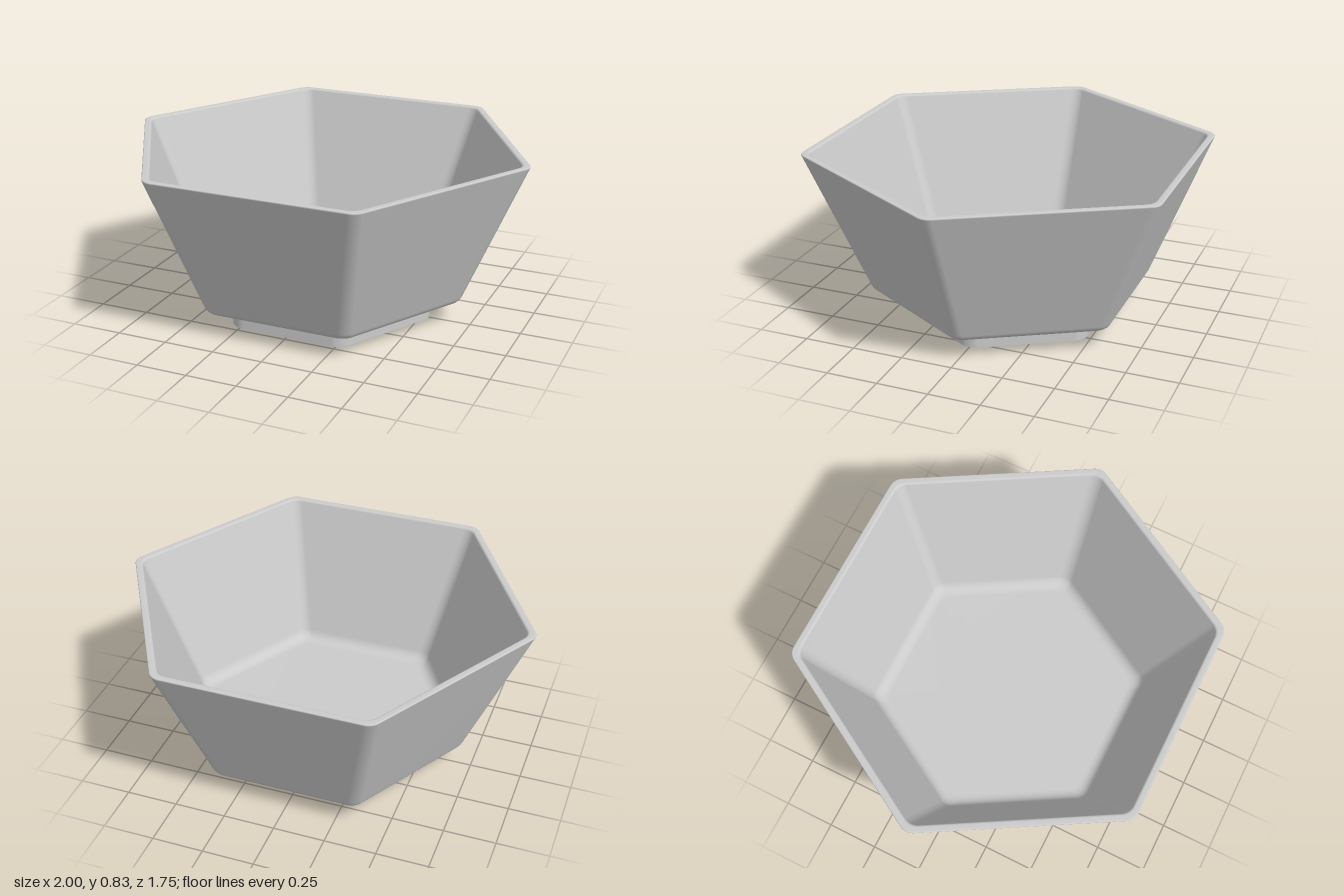
import * as THREE from 'three';
import { mergeGeometries } from 'three/addons/utils/BufferGeometryUtils.js';

const ARC = 8; // segments per rounded corner

// Hexagon outline with rounded corners: a = centre to flat side, r = corner radius
function hexRing(a, r, y) {
  r = Math.min(r, a);
  const reach = (a - r) * 2 / Math.sqrt(3);
  const points = [];
  for (let k = 0; k < 6; k++) {
    const corner = k * Math.PI / 3;
    for (let i = 0; i <= ARC; i++) {
      const t = corner + (i / ARC - 0.5) * Math.PI / 3;
      points.push(reach * Math.cos(corner) + r * Math.cos(t), y,
        reach * Math.sin(corner) + r * Math.sin(t));
    }
  }
  return points;
}

// Skin a list of [a, y, r] sections; flat gives hard corners
function loft(sections, flat = false) {
  const n = 6 * (ARC + 1), index = [];
  const position = sections.flatMap(([a, y, r]) => hexRing(a, r, y));
  for (let s = 0; s < sections.length - 1; s++) {
    for (let i = 0; i < n; i++) {
      const p = s * n + i, q = s * n + (i + 1) % n;
      index.push(p, p + n, q, q, p + n, q + n);
    }
  }
  let geometry = new THREE.BufferGeometry();
  geometry.setAttribute('position', new THREE.Float32BufferAttribute(position, 3));
  geometry.setIndex(index);
  if (!flat) geometry.computeVertexNormals();
  geometry = geometry.toNonIndexed();
  if (flat) geometry.computeVertexNormals();
  return geometry;
}

// Round the corners of a profile of [a, y, cut], cut = length trimmed at each corner
function roundProfile(corners, r) {
  const points = corners.map(([a, y]) => new THREE.Vector2(a, y));
  const out = [];
  points.forEach((p, i) => {
    const cut = corners[i][2];
    if (!cut) return out.push([p.x, p.y, r]);
    const toward = (o) => o.clone().sub(p).setLength(cut).add(p);
    const curve = new THREE.QuadraticBezierCurve(toward(points[i - 1]), p, toward(points[i + 1]));
    curve.getPoints(8).forEach((c) => out.push([c.x, c.y, r]));
  });
  return out;
}

export function createModel() {
  const model = new THREE.Group();
  const material = new THREE.MeshStandardMaterial({ color: 0xcccccc });

  // Bowl: underside, outer wall, rim, inner wall, floor
  const bowl = new THREE.Mesh(loft(roundProfile([
    [0, 0.1, 0], [0.604, 0.1, 0.042], [0.877, 0.833, 0.01],
    [0.842, 0.833, 0.01], [0.585, 0.14, 0.05], [0, 0.14, 0],
  ], 0.068)), material);
  bowl.name = 'bowl';

  // Foot: rounded outside, flat underside, sharp hexagonal recess
  const foot = new THREE.Mesh(mergeGeometries([
    loft([[0.48, 0, 0.09], [0.48, 0.1, 0.09]]),
    loft([[0.347, 0, 0], [0.48, 0, 0.09]], true),
    loft([[0.347, 0.1, 0], [0.347, 0, 0]], true),
  ]), material);
  foot.name = 'foot';

  model.add(bowl, foot);
  return model;
}
